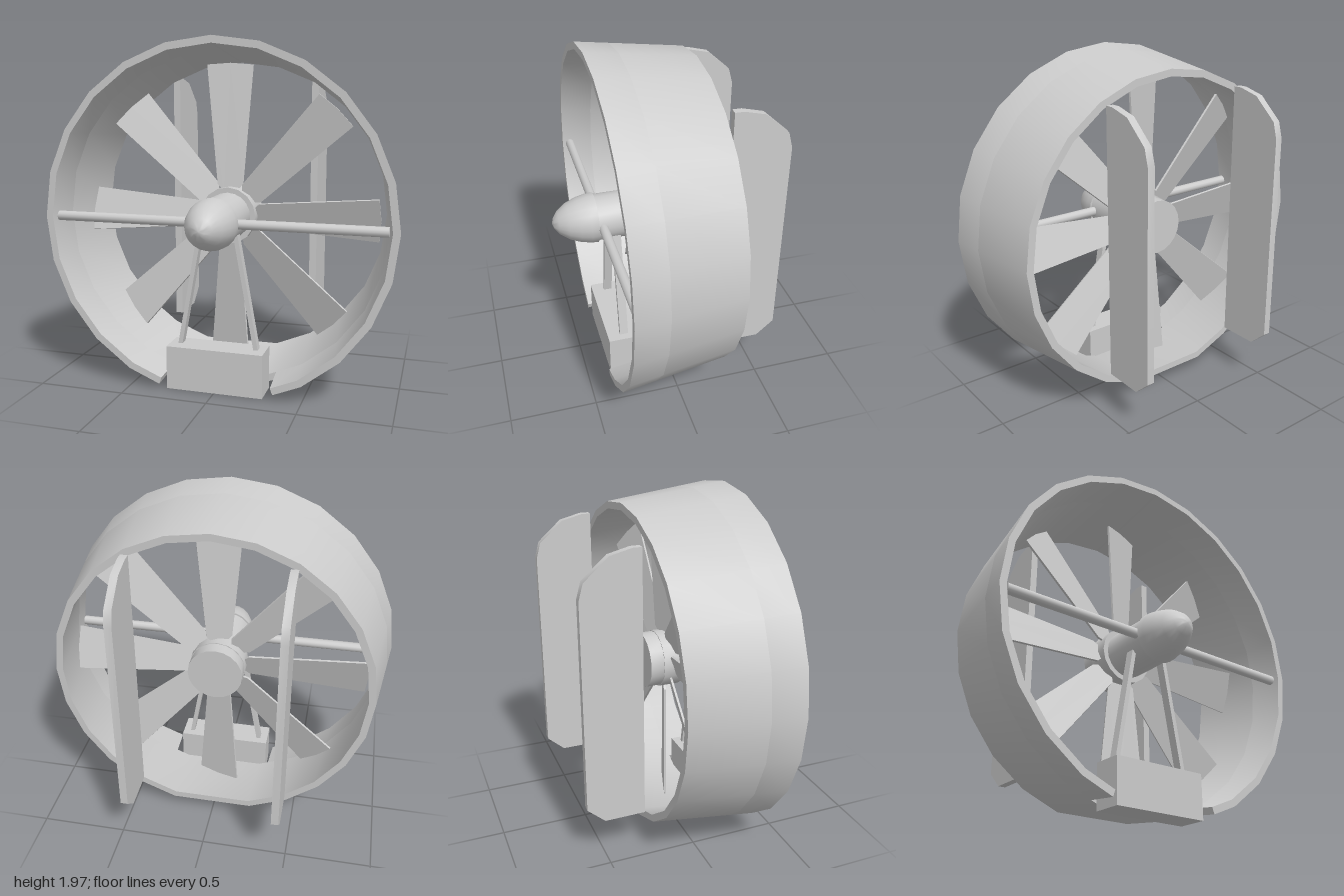
import * as THREE from 'three';
import { toCreasedNormals } from 'three/addons/utils/BufferGeometryUtils.js';

const AXIS = 0.97; // height of the fan axis
const mat = new THREE.MeshStandardMaterial({ color: 0xcccccc, side: THREE.DoubleSide });

function add(parent, name, geometry, x = 0, y = 0, z = 0, crease = 0.6) {
  const mesh = new THREE.Mesh(toCreasedNormals(geometry, crease), mat);
  mesh.name = name;
  mesh.position.set(x, y, z);
  parent.add(mesh);
  return mesh;
}

// Unit rim points measured counter-clockwise from the bottom; the lowest side is a wide flat one
const rimPoint = (i) => {
  const a = (i * Math.PI) / 12;
  return new THREE.Vector2(Math.sin(a), -Math.cos(a));
};
const outerR = (z) => 0.95 + (z * 0.08) / 0.61;
const innerR = (z) => outerR(z) - 0.04;

// Tapered duct wall between two depths, following a list of unit rim points
function ductGeometry(rim, zFront, zBack, closed) {
  const pos = [], index = [], n = rim.length;
  const section = [
    [outerR(zFront), zFront], [outerR(zBack), zBack],
    [innerR(zBack), zBack], [innerR(zFront), zFront],
  ];
  for (const p of rim) for (const [r, z] of section) pos.push(p.x * r, p.y * r, z);
  for (let i = 0; i < (closed ? n : n - 1); i++) {
    const a = i * 4, b = ((i + 1) % n) * 4;
    for (let k = 0; k < 4; k++) {
      const m = (k + 1) % 4;
      index.push(a + k, a + m, b + k, a + m, b + m, b + k);
    }
  }
  if (!closed) {
    const e = (n - 1) * 4;
    index.push(0, 2, 1, 0, 3, 2, e, e + 1, e + 2, e, e + 2, e + 3);
  }
  const g = new THREE.BufferGeometry();
  g.setAttribute('position', new THREE.Float32BufferAttribute(pos, 3));
  g.setIndex(index);
  g.computeVertexNormals();
  return g;
}

// Flat outline extruded to a centred thickness
function plate(points, depth) {
  const shape = new THREE.Shape(points.map(([x, y]) => new THREE.Vector2(x, y)));
  return new THREE.ExtrudeGeometry(shape, { depth, bevelEnabled: false }).translate(0, 0, -depth / 2);
}

// Solid of revolution along z from [radius, z] points listed back to front
function turned(points, sides) {
  return new THREE.LatheGeometry(points.map(([r, z]) => new THREE.Vector2(r, z)), sides).rotateX(Math.PI / 2);
}

export function createModel() {
  const model = new THREE.Group();
  model.name = 'ductedFan';

  // Duct: full ring behind, ring notched at the bottom for the mount in front
  const rim = [];
  for (let i = 1; i <= 23; i++) rim.push(rimPoint(i));
  const notched = rim.slice(1, -1);
  notched.unshift(rim[0].clone().lerp(rim[1], 0.35));
  notched.push(rim[22].clone().lerp(rim[21], 0.25));
  add(model, 'ductRear', ductGeometry(rim, 0.19, -0.23, true), 0, AXIS);
  add(model, 'ductFront', ductGeometry(notched, 0.38, 0.19, false), 0, AXIS);

  // Hub: spinner, motor body, blade collar and rear cap
  add(model, 'spinner', turned([[0, 0.36], [0.145, 0.36], [0.143, 0.4], [0.13, 0.46],
    [0.106, 0.52], [0.066, 0.575], [0.03, 0.6], [0, 0.61]], 20), 0, AXIS);
  add(model, 'motorBody', turned([[0, 0.06], [0.135, 0.06], [0.135, 0.36], [0, 0.36]], 20), 0, AXIS);
  add(model, 'bladeCollar', turned([[0, -0.04], [0.165, -0.04], [0.165, 0.08], [0, 0.08]], 16), 0, AXIS);
  add(model, 'rearCap', turned([[0, -0.12], [0.16, -0.12], [0.16, -0.04], [0, -0.04]], 20), 0, AXIS);

  // Eight pitched blades
  const blades = new THREE.Group();
  blades.name = 'blades';
  blades.position.set(0, AXIS, 0.02);
  model.add(blades);
  for (let i = 0; i < 8; i++) {
    const arm = new THREE.Group();
    arm.name = 'bladeArm';
    arm.rotation.z = (i * Math.PI) / 4;
    const outline = [[-0.04, 0.14], [0.04, 0.14], [0.075, 0.18], [0.132, 0.86], [0, 0.87], [-0.132, 0.86], [-0.075, 0.18]];
    add(arm, 'blade', plate(outline, 0.012)).rotation.y = 0.32;
    blades.add(arm);
  }

  // Horizontal bar through the hub
  add(model, 'crossBar', new THREE.CylinderGeometry(0.028, 0.028, 1.88, 12).rotateZ(Math.PI / 2), 0, AXIS, 0.335);

  // Mount box, two struts and two rudders
  add(model, 'mountBox', new THREE.BoxGeometry(0.56, 0.25, 0.17), 0, 0.125, 0.275);
  const rudder = [[0.28, 0.25], [0.51, 0.25], [0.61, 0.34], [0.61, 1.52], [0.585, 1.61],
    [0.45, 1.73], [0.33, 1.76], [0.28, 1.76]];
  for (const side of [-1, 1]) {
    const strut = add(model, 'strut', new THREE.BoxGeometry(0.025, 0.69, 0.05), side * 0.167, 0.555, 0.26);
    strut.rotation.z = side * 0.18;
    add(model, 'rudder', plate(rudder, 0.042).rotateY(Math.PI / 2), side * 0.437);
  }
  return model;
}
